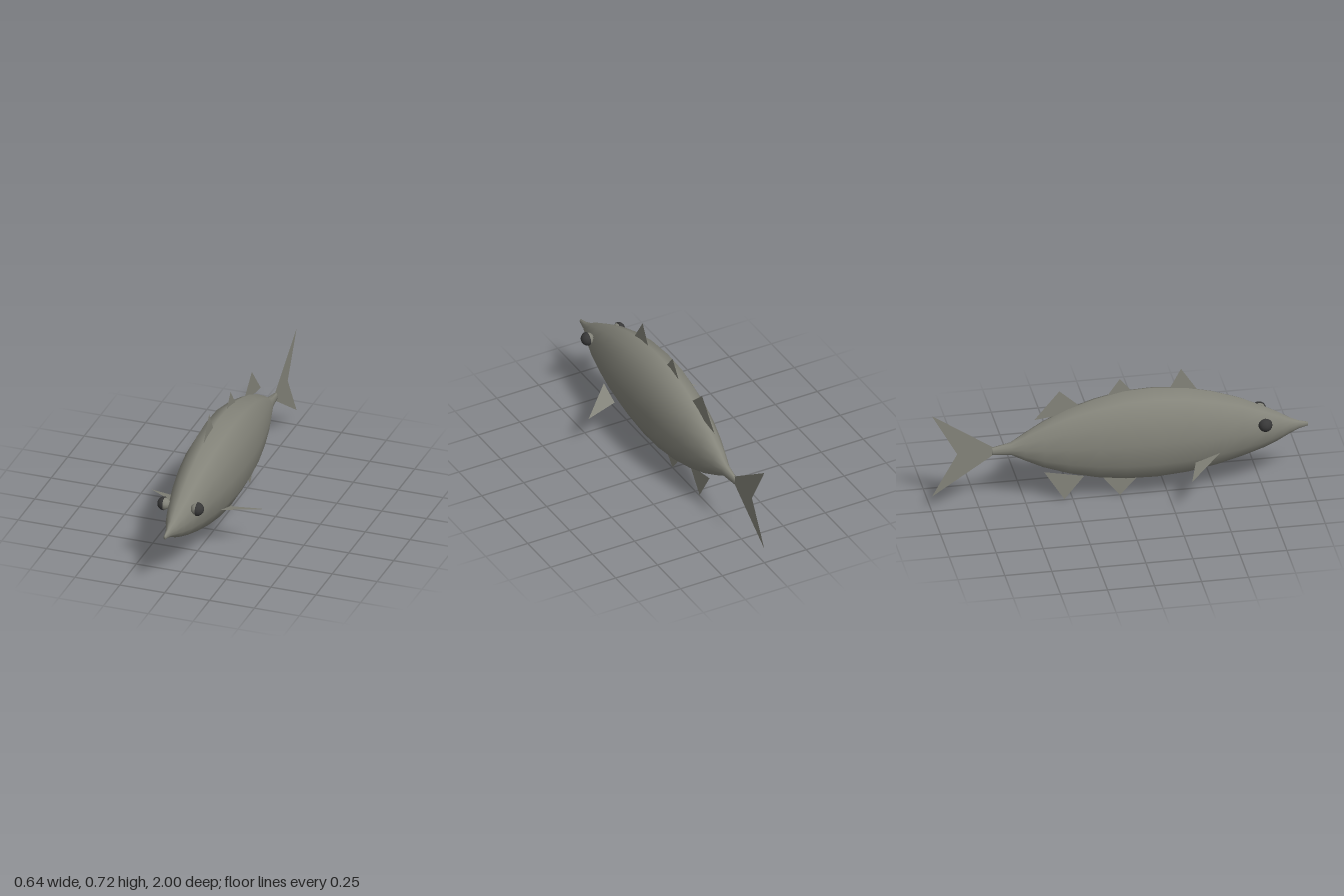
import * as THREE from 'three';

const SIDES = 12;

// Body stations from nose to tail: z, half width, top y, bottom y
const STATIONS = [
  [1.0, 0.006, 0.337, 0.315], [0.95, 0.014, 0.35, 0.302], [0.9, 0.03, 0.373, 0.28],
  [0.84, 0.053, 0.412, 0.248], [0.76, 0.076, 0.455, 0.213], [0.64, 0.101, 0.515, 0.173],
  [0.5, 0.123, 0.566, 0.136], [0.35, 0.138, 0.604, 0.108], [0.18, 0.144, 0.621, 0.095],
  [0.02, 0.14, 0.616, 0.1], [-0.13, 0.126, 0.584, 0.121], [-0.28, 0.102, 0.537, 0.159],
  [-0.41, 0.074, 0.475, 0.207], [-0.51, 0.046, 0.415, 0.258], [-0.58, 0.025, 0.37, 0.298],
  [-0.68, 0.013, 0.35, 0.306],
];

function bodyGeometry() {
  const pos = [], index = [];
  for (const [z, w, top, bottom] of STATIONS) {
    for (let j = 0; j < SIDES; j++) {
      const a = (j / SIDES) * Math.PI * 2;
      pos.push(Math.sin(a) * w, (top + bottom) / 2 + Math.cos(a) * (top - bottom) / 2, z);
    }
  }
  const last = STATIONS.length - 1;
  for (let i = 0; i < last; i++) {
    for (let j = 0; j < SIDES; j++) {
      const k = (j + 1) % SIDES;
      const a = i * SIDES + j, b = i * SIDES + k;
      index.push(a, b, a + SIDES, b, b + SIDES, a + SIDES);
    }
  }
  // Close the nose and the tail root
  for (let j = 1; j < SIDES - 1; j++) {
    index.push(0, j + 1, j);
    index.push(last * SIDES, last * SIDES + j, last * SIDES + j + 1);
  }
  const g = new THREE.BufferGeometry();
  g.setAttribute('position', new THREE.Float32BufferAttribute(pos, 3));
  g.setIndex(index);
  g.computeVertexNormals();
  return g;
}

// Flat fin in the middle plane, outlined by [z, y] points
function finGeometry(points) {
  const shape = new THREE.Shape(points.map(([z, y]) => new THREE.Vector2(-z, y)));
  return new THREE.ShapeGeometry(shape).rotateY(Math.PI / 2);
}

export function createModel() {
  const skin = new THREE.MeshStandardMaterial({ color: 0x84847a });
  skin.name = 'greySkin';
  const fin = new THREE.MeshStandardMaterial({ color: 0x84847a, side: THREE.DoubleSide });
  fin.name = 'greyFin';
  const dark = new THREE.MeshStandardMaterial({ color: 0x383838 });
  dark.name = 'darkEye';

  const model = new THREE.Group();
  model.name = 'fish';
  const add = (name, geometry, material, parent = model) => {
    const mesh = new THREE.Mesh(geometry, material);
    mesh.name = name;
    parent.add(mesh);
    return mesh;
  };

  add('body', bodyGeometry(), skin);

  // Fins along the middle
  const fins = {
    frontDorsalFin: [[0.41, 0.59], [0.325, 0.72], [0.26, 0.6]],
    middleDorsalFin: [[0.08, 0.59], [0, 0.692], [-0.08, 0.58]],
    rearDorsalFin: [[-0.2, 0.54], [-0.322, 0.65], [-0.455, 0.492], [-0.34, 0.505]],
    bellyFin: [[0.11, 0.115], [0, 0], [-0.1, 0.125]],
    analFin: [[-0.19, 0.132], [-0.295, 0.003], [-0.403, 0.175]],
    tailFin: [[-0.67, 0.348], [-1, 0.57], [-0.865, 0.328], [-1, 0.088], [-0.67, 0.308]],
  };
  for (const [name, points] of Object.entries(fins)) add(name, finGeometry(points), fin);

  for (const side of [1, -1]) {
    const label = side > 0 ? 'left' : 'right';

    // Side fin
    const g = new THREE.BufferGeometry();
    g.setAttribute('position', new THREE.Float32BufferAttribute([
      side * 0.13, 0.27, 0.51, side * 0.322, 0.218, 0.325, side * 0.138, 0.229, 0.378,
    ], 3));
    if (side < 0) g.setIndex([0, 2, 1]);
    g.computeVertexNormals();
    add(label + 'SideFin', g, fin);

    // Eye: dark outer half, smaller grey inner half
    const eye = new THREE.Group();
    eye.name = label + 'Eye';
    eye.position.set(side * 0.091, 0.391, 0.757);
    eye.rotation.z = -side * Math.PI / 2;
    add('eyeball', new THREE.SphereGeometry(0.037, 16, 6, 0, Math.PI * 2, 0, Math.PI / 2), dark, eye);
    add('eyeBack', new THREE.CircleGeometry(0.037, 16).rotateX(Math.PI / 2), dark, eye);
    add('eyeSocket', new THREE.SphereGeometry(0.033, 10, 5, 0, Math.PI * 2, Math.PI / 2, Math.PI / 2), skin, eye);
    model.add(eye);
  }
  return model;
}
